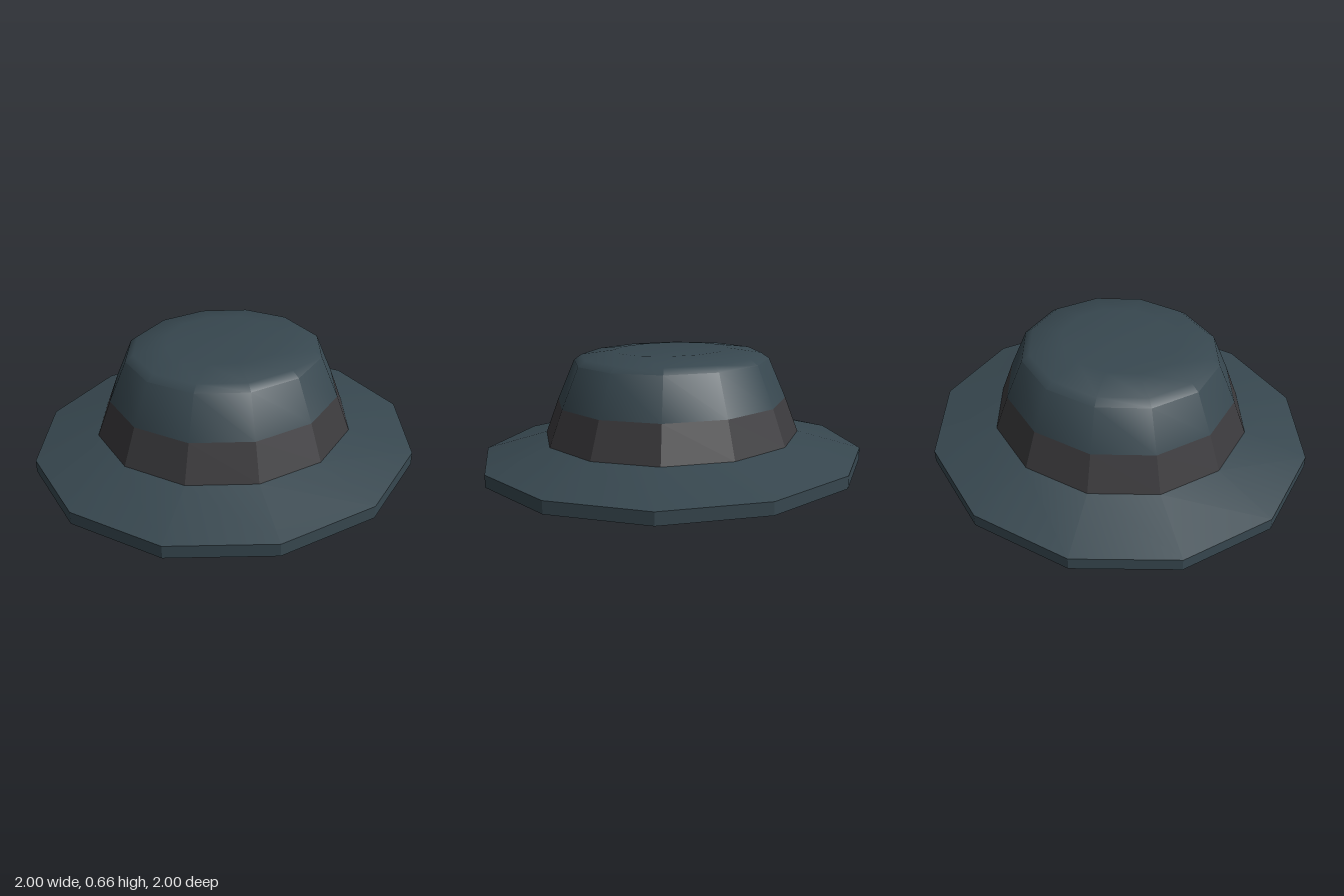
import * as THREE from 'three';
import { toCreasedNormals } from 'three/addons/utils/BufferGeometryUtils.js';

const SIDES = 12;
const felt = new THREE.MeshStandardMaterial({ color: 0x37474f });
const ribbon = new THREE.MeshStandardMaterial({ color: 0x3b3a3d });

// Twelve-sided turned part; every height leans up towards the back
function turned(name, profile, material, crease) {
  const points = profile.map(([r, y]) => new THREE.Vector2(r, y));
  const geometry = new THREE.LatheGeometry(points, SIDES);
  const pos = geometry.attributes.position;
  for (let i = 0; i < pos.count; i++) {
    const y = pos.getY(i);
    const lean = y > 0.635 ? 0.06 : 0.043; // the flat of the crown leans a little more
    pos.setY(i, y - lean * pos.getZ(i));
  }
  const mesh = new THREE.Mesh(toCreasedNormals(geometry, crease), material);
  mesh.name = name;
  return mesh;
}

export function createModel() {
  const hat = new THREE.Group();
  hat.name = 'hat';

  // Brim with its sloping underside, outer edge and top
  hat.add(turned('brim', [[0.66, 0.143], [1, 0.048], [1, 0.112], [0.67, 0.205]], felt, 0.45));

  // Shallow hollow under the hat
  hat.add(turned('innerHollow', [[0, 0.27], [0.6, 0.27], [0.66, 0.143]], felt, 0.45));

  // Ribbon band around the foot of the crown
  hat.add(turned('band', [[0.67, 0.205], [0.6, 0.39]], ribbon, 0.45));

  // Crown with a rounded shoulder and nearly flat top
  hat.add(turned('crown', [[0.6, 0.39], [0.51, 0.598], [0.47, 0.626], [0.3, 0.65], [0, 0.65]], felt, 0.6));

  return hat;
}
